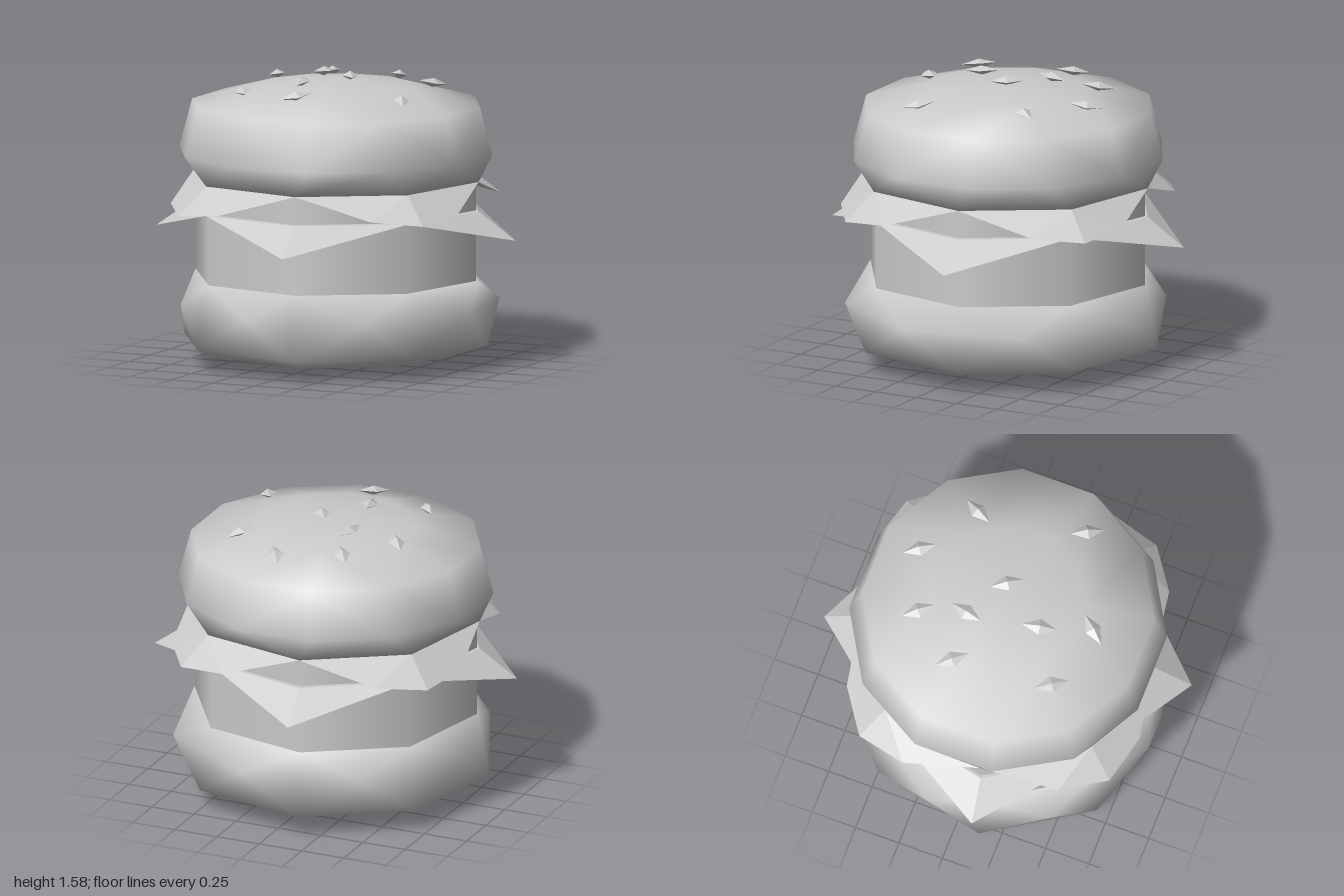
import * as THREE from 'three';
import { mergeVertices } from 'three/addons/utils/BufferGeometryUtils.js';
import { ConvexGeometry } from 'three/addons/geometries/ConvexGeometry.js';

const smooth = new THREE.MeshStandardMaterial({ color: 0xcccccc });
const flat = new THREE.MeshStandardMaterial({ color: 0xcccccc, flatShading: true });
const sheet = new THREE.MeshStandardMaterial({ color: 0xcccccc, flatShading: true, side: THREE.DoubleSide });

// Point at an angle in degrees, measured from the front (+z) towards +x
function polar(deg, r, y, cx = 0) {
  const a = THREE.MathUtils.degToRad(deg);
  return new THREE.Vector3(cx + r * Math.sin(a), y, r * Math.cos(a));
}

function ring(count, phase, r, y, cx = 0) {
  return Array.from({ length: count }, (_, i) => polar(phase + (i * 360) / count, r, y, cx));
}

function addMesh(group, name, geometry, material) {
  const mesh = new THREE.Mesh(geometry, material);
  mesh.name = name;
  group.add(mesh);
  return mesh;
}

// Convex body over stacked rings, with shared smooth normals
function softBody(points) {
  let geo = new ConvexGeometry(points);
  geo.deleteAttribute('normal');
  geo = mergeVertices(geo, 1e-4);
  geo.computeVertexNormals();
  return geo;
}

// Flat octagon with four hanging flaps, each a fan about one octagon corner
function drapedSheet(y, firstCorner, flapPoints) {
  const pts = [];
  const centre = new THREE.Vector3(0, y, 0);
  for (let k = 0; k < 4; k++) {
    const mid = firstCorner + k * 90;
    const [a, b, c] = [-45, 0, 45].map((d) => polar(mid + d, 0.8, y));
    pts.push(centre, a, b, centre, b, c);
    const rim = [a, ...flapPoints.map(([d, r, h]) => polar(mid + d, r, h)), c];
    for (let i = 0; i < rim.length - 1; i++) pts.push(b, rim[i], rim[i + 1]);
  }
  const geo = new THREE.BufferGeometry().setFromPoints(pts);
  geo.computeVertexNormals();
  return geo;
}

export function createModel() {
  const burger = new THREE.Group();
  burger.name = 'burger';

  // Buns
  addMesh(burger, 'bottomBun', softBody([
    new THREE.Vector3(0, 0, 0),
    ...ring(8, 10, 0.62, 0.05),
    ...ring(8, 10, 0.85, 0.12),
    ...ring(8, 35, 0.87, 0.33, 0.025),
    ...ring(8, 10, 0.79, 0.47),
  ]), smooth);
  addMesh(burger, 'topBun', softBody([
    ...ring(8, 10, 0.8, 1.01),
    ...ring(12, 15, 0.86, 1.15),
    ...ring(12, 15, 0.79, 1.41),
    ...ring(12, 15, 0.43, 1.505),
    new THREE.Vector3(0, 1.55, 0),
  ]), smooth);

  // Fillings: two stacked octagonal slabs
  for (const [name, y0, y1] of [['patty', 0.46, 0.845], ['tomato', 0.855, 1.005]]) {
    const geo = new THREE.CylinderGeometry(0.785, 0.785, y1 - y0, 8);
    const mesh = addMesh(burger, name, geo, smooth);
    mesh.position.y = (y0 + y1) / 2;
    mesh.rotation.y = THREE.MathUtils.degToRad(10);
  }

  // Cheese with pointed corners, lettuce with rounded ones
  addMesh(burger, 'cheese', drapedSheet(0.85, 10, [[-0.5, 1.01, 0.7]]), sheet);
  addMesh(burger, 'lettuce', drapedSheet(1.01, 55, [[-17, 0.91, 0.89], [0, 0.97, 0.86], [17, 0.91, 0.89]]), sheet);

  // Sesame seeds: x, z and the direction of the long axis (dx, dz)
  const seeds = [
    [0.11, -0.55, 0.09, 0.15], [-0.23, -0.43, 0.11, 0.15], [0.42, -0.33, -0.09, 0.16],
    [-0.43, -0.16, 0.11, 0.14], [-0.16, -0.18, -0.04, 0.17], [0.07, -0.03, 0.1, 0.15],
    [-0.1, 0.22, 0.04, 0.19], [0.52, 0.26, 0.1, 0.16], [-0.37, 0.39, 0.11, 0.16],
    [0, 0.49, -0.12, 0.14],
  ];
  const seedGeo = new THREE.OctahedronGeometry(1).scale(0.045, 0.025, 0.095);
  const up = new THREE.Vector3(0, 1, 0);
  for (const [x, z, dx, dz] of seeds) {
    const seed = addMesh(burger, 'sesameSeed', seedGeo, flat);
    seed.position.set(x, 1.56 - 0.2 * (x * x + z * z), z);
    const normal = new THREE.Vector3(0.4 * x, 1, 0.4 * z).normalize();
    seed.quaternion.setFromUnitVectors(up, normal)
      .multiply(new THREE.Quaternion().setFromAxisAngle(up, Math.atan2(dx, dz)));
  }
  return burger;
}
